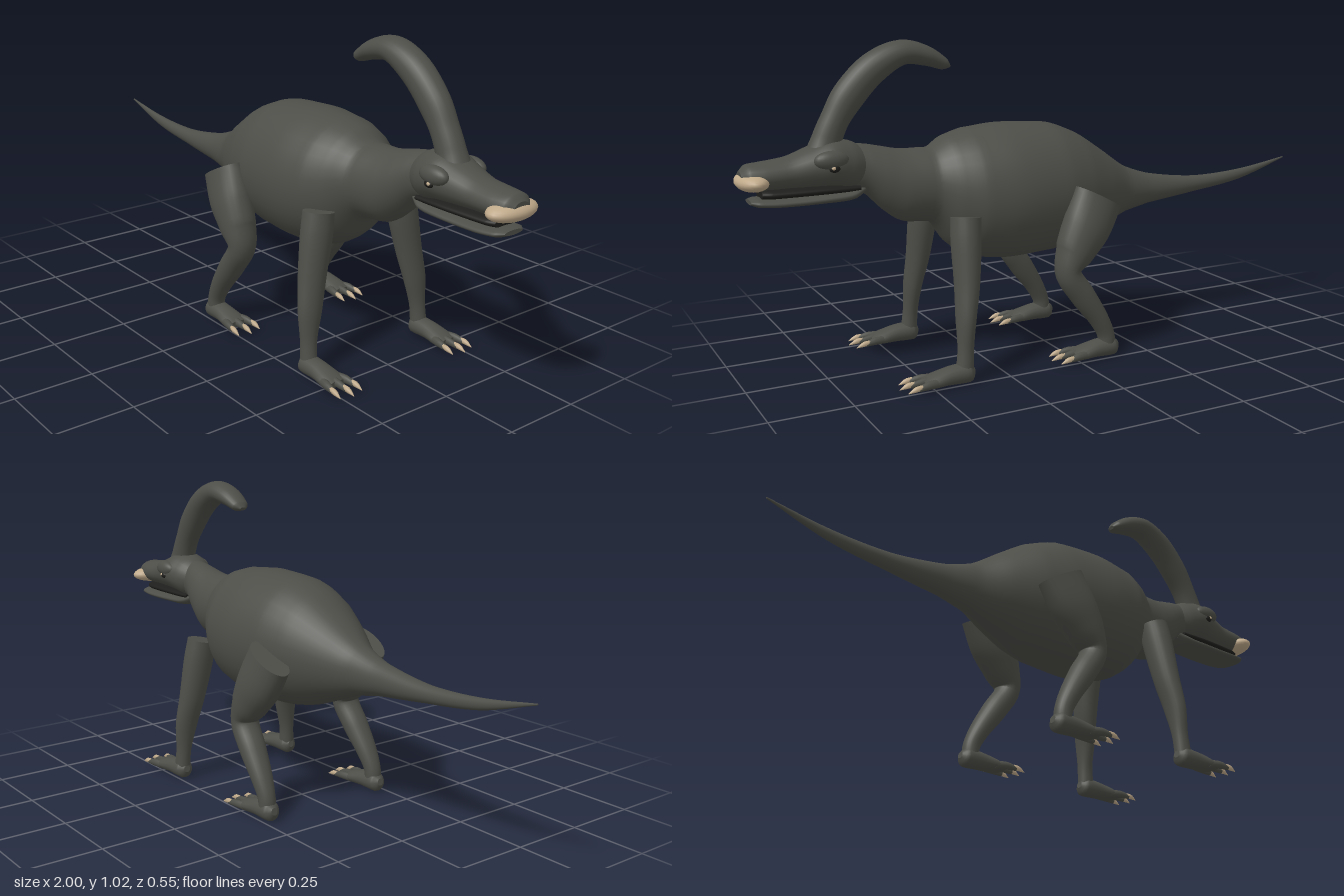
import * as THREE from 'three';

const skin = new THREE.MeshStandardMaterial({ color: 0x4d4e48 });
skin.name = 'dark skin';
const horn = new THREE.MeshStandardMaterial({ color: 0xbfa98a });
horn.name = 'tan horn';
const dark = new THREE.MeshStandardMaterial({ color: 0x1e1e1c });
dark.name = 'mouth dark';

// Smooth skin over elliptical sections [x, y, z, in-plane radius, sideways radius].
// upright keeps every section in a plane facing x.
function loft(name, sections, { material = skin, steps = 6, segs = 24, upright = false } = {}) {
  const path = new THREE.CatmullRomCurve3(sections.map(s => new THREE.Vector3(s[0], s[1], s[2])));
  const size = new THREE.CatmullRomCurve3(sections.map(s => new THREE.Vector3(s[3], s[4], 0)));
  const rings = (sections.length - 1) * steps;
  const pos = [], index = [];
  const side = new THREE.Vector3(0, 0, 1);
  for (let i = 0; i <= rings; i++) {
    const c = path.getPoint(i / rings), r = size.getPoint(i / rings);
    const t = upright ? new THREE.Vector3(1, 0, 0) : path.getTangent(i / rings);
    const v = side.clone().cross(t).normalize();
    const w = t.clone().cross(v);
    for (let j = 0; j < segs; j++) {
      const a = (j / segs) * Math.PI * 2;
      const p = c.clone()
        .addScaledVector(v, Math.cos(a) * Math.max(r.x, 0.001))
        .addScaledVector(w, Math.sin(a) * Math.max(r.y, 0.001));
      pos.push(p.x, p.y, p.z);
    }
  }
  for (let i = 0; i < rings; i++) {
    for (let j = 0; j < segs; j++) {
      const k = (j + 1) % segs;
      const a = i * segs + j, b = i * segs + k, c = a + segs, d = b + segs;
      index.push(a, b, c, b, d, c);
    }
  }
  // flat end caps with their own vertices
  for (const end of [0, rings]) {
    const first = pos.length / 3;
    for (let j = 0; j < segs * 3; j++) pos.push(pos[end * segs * 3 + j]);
    const c = path.getPoint(end / rings);
    const centre = pos.length / 3;
    pos.push(c.x, c.y, c.z);
    for (let j = 0; j < segs; j++) {
      const a = first + j, b = first + (j + 1) % segs;
      if (end) index.push(centre, a, b);
      else index.push(centre, b, a);
    }
  }
  const geo = new THREE.BufferGeometry();
  geo.setAttribute('position', new THREE.Float32BufferAttribute(pos, 3));
  geo.setIndex(index);
  geo.computeVertexNormals();
  const mesh = new THREE.Mesh(geo, material);
  mesh.name = name;
  return mesh;
}

// Sections given as [x, top, bottom, half width], along x.
const hull = (name, rows, opts = {}) => loft(name,
  rows.map(([x, top, bottom, w]) => [x, (top + bottom) / 2, 0, (top - bottom) / 2, w]),
  { upright: true, ...opts });

function ellipsoid(name, material, p, r) {
  const mesh = new THREE.Mesh(new THREE.SphereGeometry(1, 24, 16), material);
  mesh.position.set(...p);
  mesh.scale.set(...r);
  mesh.name = name;
  return mesh;
}

// Foot with three clawed toes; x is the ankle, z the middle line.
function makeFoot(name, x, z) {
  const foot = new THREE.Group();
  foot.name = name;
  foot.add(loft('sole', [
    [x - 0.03, 0.042, z, 0.012, 0.012],
    [x - 0.01, 0.038, z, 0.032, 0.032],
    [x + 0.05, 0.036, z, 0.028, 0.034],
    [x + 0.10, 0.030, z, 0.021, 0.040],
    [x + 0.135, 0.027, z, 0.010, 0.034],
  ], { segs: 16, steps: 4 }));
  for (const k of [-1, 0, 1]) {
    const reach = k === 0 ? 0.012 : 0;
    foot.add(loft('toe', [
      [x + 0.09, 0.028, z + k * 0.024, 0.014, 0.013],
      [x + 0.13, 0.030, z + k * 0.034, 0.013, 0.012],
      [x + 0.165 + reach, 0.026, z + k * 0.039, 0.008, 0.008],
    ], { segs: 10, steps: 3 }));
    foot.add(loft('claw', [
      [x + 0.145 + reach, 0.029, z + k * 0.038, 0.008, 0.007],
      [x + 0.17 + reach, 0.028, z + k * 0.040, 0.009, 0.008],
      [x + 0.198 + reach, 0.019, z + k * 0.041, 0.001, 0.001],
    ], { material: horn, segs: 8, steps: 3 }));
  }
  return foot;
}

export function createModel() {
  const model = new THREE.Group();
  model.name = 'crestedDinosaur';

  // Tail, trunk and neck in one skin
  model.add(hull('body', [
    [-1.00, 0.555, 0.550, 0.002],
    [-0.80, 0.526, 0.490, 0.014],
    [-0.60, 0.518, 0.463, 0.026],
    [-0.40, 0.545, 0.440, 0.045],
    [-0.30, 0.580, 0.420, 0.068],
    [-0.20, 0.648, 0.382, 0.120],
    [-0.10, 0.712, 0.345, 0.165],
    [0.00, 0.748, 0.326, 0.192],
    [0.15, 0.757, 0.320, 0.202],
    [0.28, 0.747, 0.340, 0.185],
    [0.35, 0.728, 0.385, 0.150],
    [0.41, 0.695, 0.462, 0.106],
    [0.50, 0.698, 0.474, 0.094],
    [0.56, 0.710, 0.515, 0.080],
    [0.62, 0.722, 0.572, 0.062],
    [0.69, 0.725, 0.590, 0.050],
  ], { segs: 32 }));

  // Head
  const head = new THREE.Group();
  head.name = 'head';
  head.add(hull('skull', [
    [0.60, 0.700, 0.610, 0.045],
    [0.66, 0.735, 0.592, 0.076],
    [0.72, 0.745, 0.603, 0.090],
    [0.78, 0.725, 0.605, 0.076],
    [0.85, 0.700, 0.607, 0.063],
    [0.92, 0.691, 0.608, 0.062],
    [0.965, 0.686, 0.616, 0.052],
    [0.985, 0.668, 0.630, 0.030],
  ]));
  head.add(hull('lowerJaw', [
    [0.62, 0.610, 0.575, 0.040],
    [0.66, 0.596, 0.558, 0.058],
    [0.75, 0.588, 0.555, 0.064],
    [0.88, 0.586, 0.556, 0.064],
    [0.94, 0.588, 0.561, 0.056],
    [0.962, 0.584, 0.570, 0.035],
  ]));
  head.add(hull('mouth', [
    [0.64, 0.610, 0.580, 0.050],
    [0.75, 0.612, 0.580, 0.054],
    [0.90, 0.612, 0.580, 0.048],
    [0.93, 0.612, 0.582, 0.038],
  ], { material: dark }));
  head.add(ellipsoid('beak', horn, [0.95, 0.636, 0], [0.048, 0.029, 0.088]));
  for (const s of [1, -1]) {
    head.add(ellipsoid('brow', skin, [0.735, 0.69, s * 0.072], [0.052, 0.028, 0.025]));
    head.add(ellipsoid('eye', dark, [0.73, 0.667, s * 0.083], [0.017, 0.012, 0.012]));
    head.add(ellipsoid('eyeGlint', horn, [0.735, 0.669, s * 0.093], [0.006, 0.005, 0.004]));
  }
  // Backswept crest
  head.add(loft('crest', [
    [0.74, 0.690, 0, 0.055, 0.052],
    [0.725, 0.740, 0, 0.045, 0.042],
    [0.70, 0.795, 0, 0.043, 0.041],
    [0.655, 0.865, 0, 0.049, 0.044],
    [0.575, 0.945, 0, 0.047, 0.048],
    [0.485, 0.987, 0, 0.038, 0.048],
    [0.41, 0.975, 0, 0.031, 0.044],
    [0.35, 0.948, 0, 0.019, 0.032],
    [0.332, 0.940, 0, 0.006, 0.012],
  ]));
  model.add(head);

  for (const s of [1, -1]) {
    const label = s > 0 ? 'left' : 'right';
    // Front leg
    model.add(loft(label + 'FrontLeg', [
      [0.355, 0.500, s * 0.162, 0.046, 0.050],
      [0.360, 0.440, s * 0.172, 0.046, 0.052],
      [0.370, 0.300, s * 0.197, 0.038, 0.046],
      [0.383, 0.200, s * 0.215, 0.030, 0.040],
      [0.390, 0.100, s * 0.225, 0.025, 0.026],
      [0.395, 0.040, s * 0.228, 0.028, 0.026],
    ]));
    model.add(makeFoot(label + 'FrontFoot', 0.395, s * 0.228));
    // Hind leg
    model.add(loft(label + 'HindLeg', [
      [-0.090, 0.525, s * 0.195, 0.088, 0.052],
      [-0.045, 0.440, s * 0.202, 0.084, 0.062],
      [0.000, 0.365, s * 0.207, 0.066, 0.058],
      [0.028, 0.300, s * 0.210, 0.040, 0.048],
      [-0.020, 0.220, s * 0.215, 0.040, 0.045],
      [-0.078, 0.135, s * 0.220, 0.032, 0.036],
      [-0.105, 0.080, s * 0.222, 0.028, 0.029],
      [-0.110, 0.040, s * 0.222, 0.028, 0.028],
    ]));
    model.add(makeFoot(label + 'HindFoot', -0.118, s * 0.222));
  }
  return model;
}
